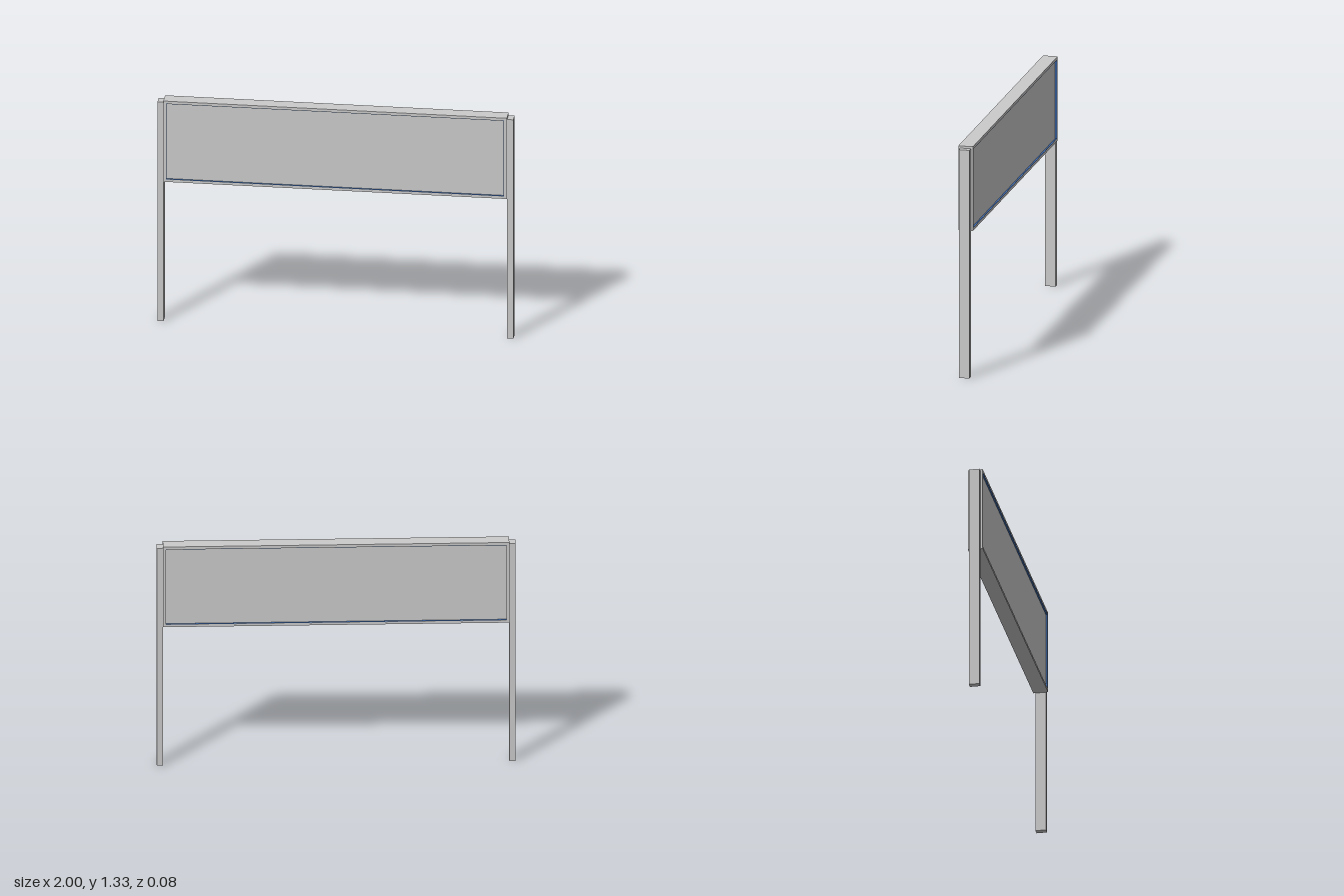
import * as THREE from 'three';

const grey = new THREE.MeshStandardMaterial({ color: 0xcccccc, flatShading: true });
const blue = new THREE.MeshStandardMaterial({ color: 0x3f6cb0, flatShading: true });

const POST = { width: 0.035, height: 1.32, depth: 0.06 };
const BOARD = { width: 1.93, height: 0.487, depth: 0.084, centreY: 1.089 };
const LIP = 0.015, RECESS = 0.01, LINER = 0.002;

function box(name, w, h, d, x, y, z = 0) {
  const mesh = new THREE.Mesh(new THREE.BoxGeometry(w, h, d), grey);
  mesh.name = name;
  mesh.position.set(x, y, z);
  return mesh;
}

// Rectangular ring centred on the board, extruded along z
function ring(name, w, h, rim, depth, material) {
  const rect = (T, a, b) => new T([
    new THREE.Vector2(-a, -b), new THREE.Vector2(a, -b),
    new THREE.Vector2(a, b), new THREE.Vector2(-a, b),
  ]);
  const shape = rect(THREE.Shape, w / 2, h / 2);
  shape.holes.push(rect(THREE.Path, w / 2 - rim, h / 2 - rim));
  const geo = new THREE.ExtrudeGeometry(shape, { depth, bevelEnabled: false });
  geo.translate(0, 0, -depth / 2);
  const mesh = new THREE.Mesh(geo, material);
  mesh.name = name;
  mesh.position.y = BOARD.centreY;
  return mesh;
}

export function createModel() {
  const model = new THREE.Group();
  model.name = 'postedSignBoard';

  // Two square-cut posts
  for (const side of [1, -1]) {
    model.add(box(side > 0 ? 'leftPost' : 'rightPost', POST.width, POST.height, POST.depth,
      side * (1 - POST.width / 2), POST.height / 2));
  }

  // Outer frame, coloured lining of the recess, and the panel set back on both faces
  const w = BOARD.width - 2 * LIP, h = BOARD.height - 2 * LIP;
  model.add(ring('boardFrame', BOARD.width, BOARD.height, LIP, BOARD.depth, grey));
  model.add(ring('recessLining', w, h, LINER, BOARD.depth - 0.001, blue));
  model.add(box('boardPanel', w - 2 * LINER, h - 2 * LINER, BOARD.depth - 2 * RECESS, 0, BOARD.centreY));

  return model;
}
